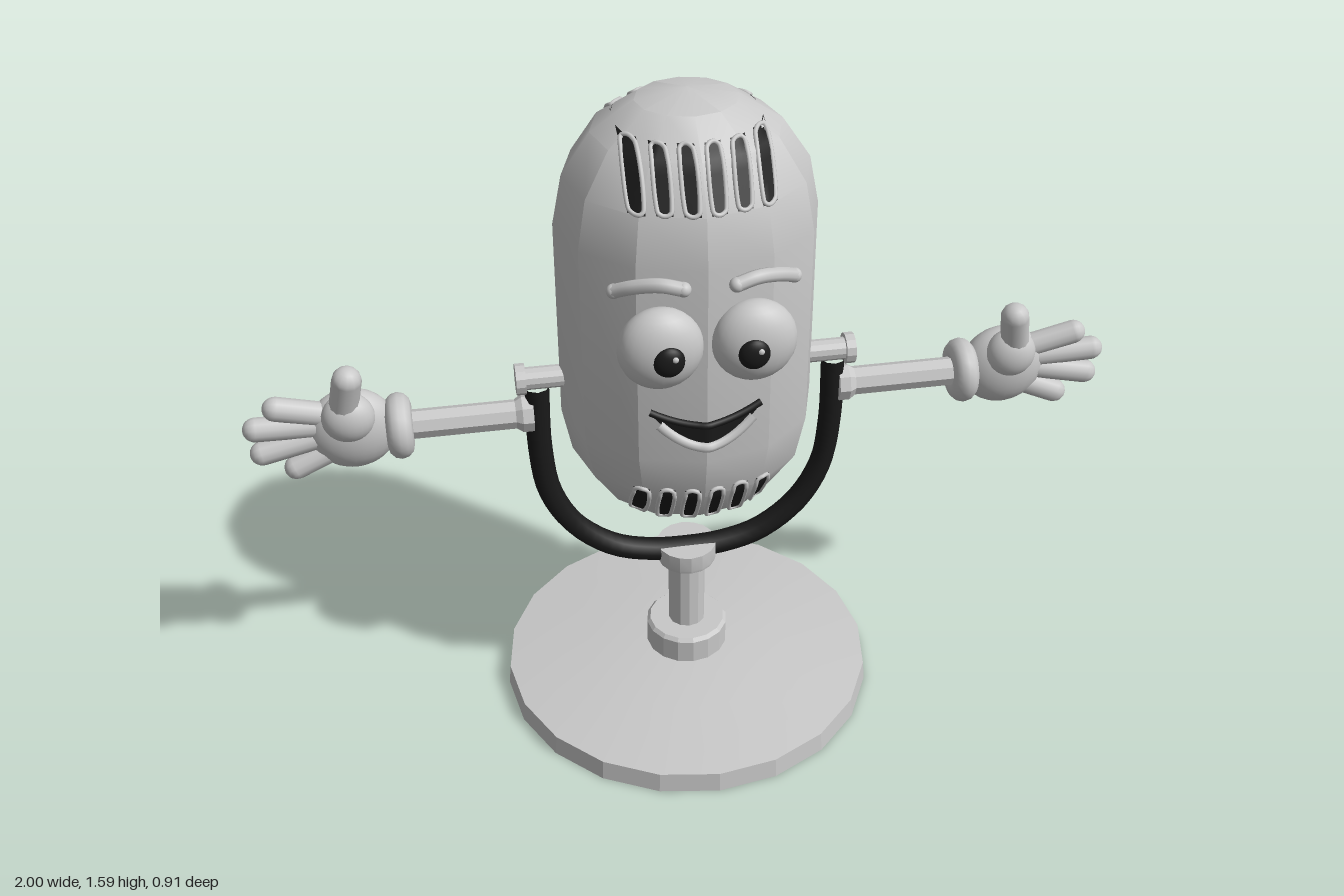
import * as THREE from 'three';
import { toCreasedNormals } from 'three/addons/utils/BufferGeometryUtils.js';

const silver = new THREE.MeshStandardMaterial({ color: 0xc8c8c8 });
silver.name = 'silver';
const black = new THREE.MeshStandardMaterial({ color: 0x1a1a1a });
black.name = 'black';

const V = (x, y, z = 0) => new THREE.Vector3(x, y, z);

function add(parent, name, geometry, material, x = 0, y = 0, z = 0) {
  const mesh = new THREE.Mesh(geometry, material);
  mesh.name = name;
  mesh.position.set(x, y, z);
  parent.add(mesh);
  return mesh;
}

function ellipsoid(parent, name, material, x, y, z, rx, ry, rz) {
  add(parent, name, new THREE.SphereGeometry(1, 24, 16), material, x, y, z).scale.set(rx, ry, rz);
}

function tube(parent, name, material, points, radius, closed = false) {
  const curve = new THREE.CatmullRomCurve3(points, closed);
  return add(parent, name, new THREE.TubeGeometry(curve, points.length * 4, radius, 8, closed), material);
}

// Rounded rod between two points
function capsule(parent, name, material, a, b, radius) {
  const mesh = add(parent, name, new THREE.CapsuleGeometry(radius, a.distanceTo(b), 6, 12), material);
  mesh.position.copy(a).lerp(b, 0.5);
  mesh.quaternion.setFromUnitVectors(V(0, 1, 0), b.clone().sub(a).normalize());
}

// Faceted turned part from [radius, y] pairs, bottom to top
function turned(profile, sides, crease = 0.25) {
  const points = profile.map(([r, y]) => new THREE.Vector2(r, y));
  return toCreasedNormals(new THREE.LatheGeometry(points, sides), crease);
}

// Capsule body: unit radius profile, squashed to an oval
const RX = 0.29, RZ = 0.257, SIDES = 12;
const bodyProfile = [];
for (let i = 0; i <= 4; i++) {
  const a = (1 - i / 4) * Math.PI / 2;
  bodyProfile.push([Math.cos(a), 0.82 - 0.29 * Math.sin(a)]);
}
for (let i = 0; i <= 4; i++) {
  const a = (i / 4) * Math.PI / 2;
  bodyProfile.push([Math.cos(a), 1.3 + 0.293 * Math.sin(a)]);
}

// Height of the faceted body's front surface at (x, y)
function surfaceZ(x, y) {
  let r = 0;
  for (let i = 1; i < bodyProfile.length; i++) {
    const [r0, y0] = bodyProfile[i - 1], [r1, y1] = bodyProfile[i];
    if (y >= y0 && y <= y1) r = r0 + (r1 - r0) * (y - y0) / (y1 - y0);
  }
  for (let k = 0; k < SIDES / 4; k++) {
    const a = k * 2 * Math.PI / SIDES, b = (k + 1) * 2 * Math.PI / SIDES;
    const x0 = RX * r * Math.sin(a), x1 = RX * r * Math.sin(b);
    if (Math.abs(x) <= x1) {
      const t = (Math.abs(x) - x0) / (x1 - x0);
      return RZ * r * (Math.cos(a) * (1 - t) + Math.cos(b) * t);
    }
  }
  return 0;
}

// Thin sheet laid over the body; place(u, v) gives x, y for u, v in -1..1
function sheet(place, nu, nv, lift) {
  const geometry = new THREE.PlaneGeometry(2, 2, nu, nv);
  const p = geometry.attributes.position;
  for (let i = 0; i < p.count; i++) {
    const [x, y] = place(p.getX(i), p.getY(i));
    p.setXYZ(i, x, y, surfaceZ(x, y) + lift);
  }
  geometry.computeVertexNormals();
  return geometry;
}

// Rows of rimmed sound slots, for one face of the body
function slots() {
  const group = new THREE.Group();
  group.name = 'soundSlots';
  const w = 0.017, h = 0.06;
  for (const cy of [1.475, 0.67]) {
    for (let i = 0; i < 6; i++) {
      const cx = (i - 2.5) * 0.055;
      add(group, 'slot', sheet((u, v) => [cx + u * w, cy + v * h], 4, 10, 0.004), black);
      const rim = [];
      for (let k = 0; k < 24; k++) {
        const a = (k + 0.5) / 24 * Math.PI * 2;
        const x = cx + w * Math.cos(a);
        const y = cy + Math.sign(Math.sin(a)) * (h - w) * Math.min(1, Math.abs(Math.sin(a)) * 2) + w * Math.sin(a);
        rim.push(V(x, y, surfaceZ(x, y) + 0.003));
      }
      tube(group, 'slotRim', silver, rim, 0.005, true);
    }
  }
  return group;
}

function face() {
  const group = new THREE.Group();
  group.name = 'face';
  for (const s of [-1, 1]) {
    ellipsoid(group, 'eye', silver, s * 0.1, 1.125, 0.252, 0.092, 0.095, 0.058);
    ellipsoid(group, 'pupil', black, s * 0.09, 1.122, 0.303, 0.034, 0.036, 0.02);
    ellipsoid(group, 'eyeGlint', silver, s * 0.09 + 0.011, 1.135, 0.319, 0.007, 0.007, 0.005);
    const brow = [V(s * 0.055, 1.277, 0.278), V(s * 0.1, 1.285, 0.268), V(s * 0.15, 1.272, 0.243), V(s * 0.19, 1.25, 0.215)];
    tube(group, 'eyebrow', silver, brow, 0.016);
    for (const end of [brow[0], brow[3]]) ellipsoid(group, 'eyebrowEnd', silver, end.x, end.y, end.z, 0.016, 0.016, 0.016);
  }
  // Smiling mouth with a fuller lower lip
  const top = u => 0.922 + 0.03 * u * u;
  const bottom = u => 0.875 + 0.077 * u * u;
  const W = 0.122;
  add(group, 'mouth', sheet((u, v) => [u * W, THREE.MathUtils.lerp(bottom(u), top(u), (v + 1) / 2)], 24, 4, 0.012), black);
  const edge = (f, lift, width) => Array.from({ length: 13 }, (_, i) => {
    const u = (i / 6 - 1) * width;
    return V(u * W, f(u), surfaceZ(u * W, f(u)) + lift);
  });
  tube(group, 'upperLip', black, edge(top, 0.007, 1), 0.008);
  tube(group, 'lowerLip', silver, edge(u => bottom(u) - 0.006, 0.012, 0.85), 0.012);
  return group;
}

// Arm, cuff and gloved hand on side s
function arm(s) {
  const group = new THREE.Group();
  group.name = s > 0 ? 'leftArm' : 'rightArm';
  const rod = add(group, 'armRod', turned([[0, 0], [0.044, 0], [0.044, 0.025], [0.034, 0.04], [0.034, 0.31], [0, 0.31]], 8), silver, s * 0.355, 0.82, 0);
  rod.rotation.z = -s * Math.PI / 2;
  const cuff = add(group, 'cuff', new THREE.TorusGeometry(0.046, 0.03, 12, 24), silver, s * 0.656, 0.82, 0);
  cuff.rotation.y = Math.PI / 2;
  ellipsoid(group, 'palm', silver, s * 0.76, 0.82, -0.01, 0.1, 0.1, 0.06);
  const fingers = [
    [0.81, 0.865, 0.922, 0.9], [0.83, 0.84, 0.971, 0.85],
    [0.83, 0.81, 0.963, 0.785], [0.79, 0.78, 0.893, 0.738],
  ];
  for (const [x0, y0, x1, y1] of fingers) capsule(group, 'finger', silver, V(s * x0, y0, -0.005), V(s * x1, y1, 0.005), 0.028);
  ellipsoid(group, 'thumbBase', silver, s * 0.765, 0.87, 0.022, 0.06, 0.06, 0.045);
  capsule(group, 'thumb', silver, V(s * 0.772, 0.9, 0.025), V(s * 0.757, 0.983, 0.045), 0.033);
  // Stitch lines on the back of the glove
  for (const k of [-1, 0, 1]) {
    const line = [0, 1, 2, 3].map(i => {
      const x = 0.725 + i * 0.034, y = 0.82 + k * (0.014 + i * 0.012);
      const d = 1 - ((x - 0.76) / 0.1) ** 2 - ((y - 0.82) / 0.1) ** 2;
      return V(s * x, y, -0.012 - 0.06 * Math.sqrt(Math.max(d, 0)));
    });
    tube(group, 'gloveLine', black, line, 0.007);
  }
  return group;
}

export function createModel() {
  const model = new THREE.Group();
  model.name = 'microphone';

  // Body
  const shell = new THREE.LatheGeometry(bodyProfile.map(([r, y]) => new THREE.Vector2(r, y)), SIDES);
  shell.scale(RX, 1, RZ);
  add(model, 'body', toCreasedNormals(shell, 0.43), silver);
  const backSlots = slots();
  backSlots.rotation.y = Math.PI;
  model.add(slots(), backSlots, face());

  // Stand
  add(model, 'base', turned([[0, 0], [0.455, 0], [0.45, 0.05], [0.25, 0.075], [0.09, 0.088], [0, 0.088]], 20), silver);
  add(model, 'boss', turned([[0.1, 0.07], [0.1, 0.148], [0.092, 0.157], [0, 0.157]], 16), silver);
  add(model, 'post', turned([[0.045, 0.14], [0.045, 0.36]], 12), silver);
  add(model, 'collar', turned([[0, 0.347], [0.07, 0.347], [0.072, 0.355], [0.072, 0.395], [0, 0.395]], 16), silver);

  // U-shaped yoke
  const half = [[0.343, 0.89], [0.343, 0.72], [0.325, 0.59], [0.27, 0.485], [0.18, 0.41], [0.09, 0.382]];
  const path = [...half.map(([x, y]) => V(-x, y)), V(0, 0.376), ...half.reverse().map(([x, y]) => V(x, y))];
  tube(model, 'yoke', black, path, 0.028);

  // Pivot knobs and arms
  for (const s of [-1, 1]) {
    const knob = add(model, 'pivotKnob', turned([[0.026, 0], [0.026, 0.1], [0.036, 0.1], [0.036, 0.122], [0, 0.122]], 12), silver, s * 0.268, 0.913, 0);
    knob.rotation.z = -s * Math.PI / 2;
    model.add(arm(s));
  }
  return model;
}
